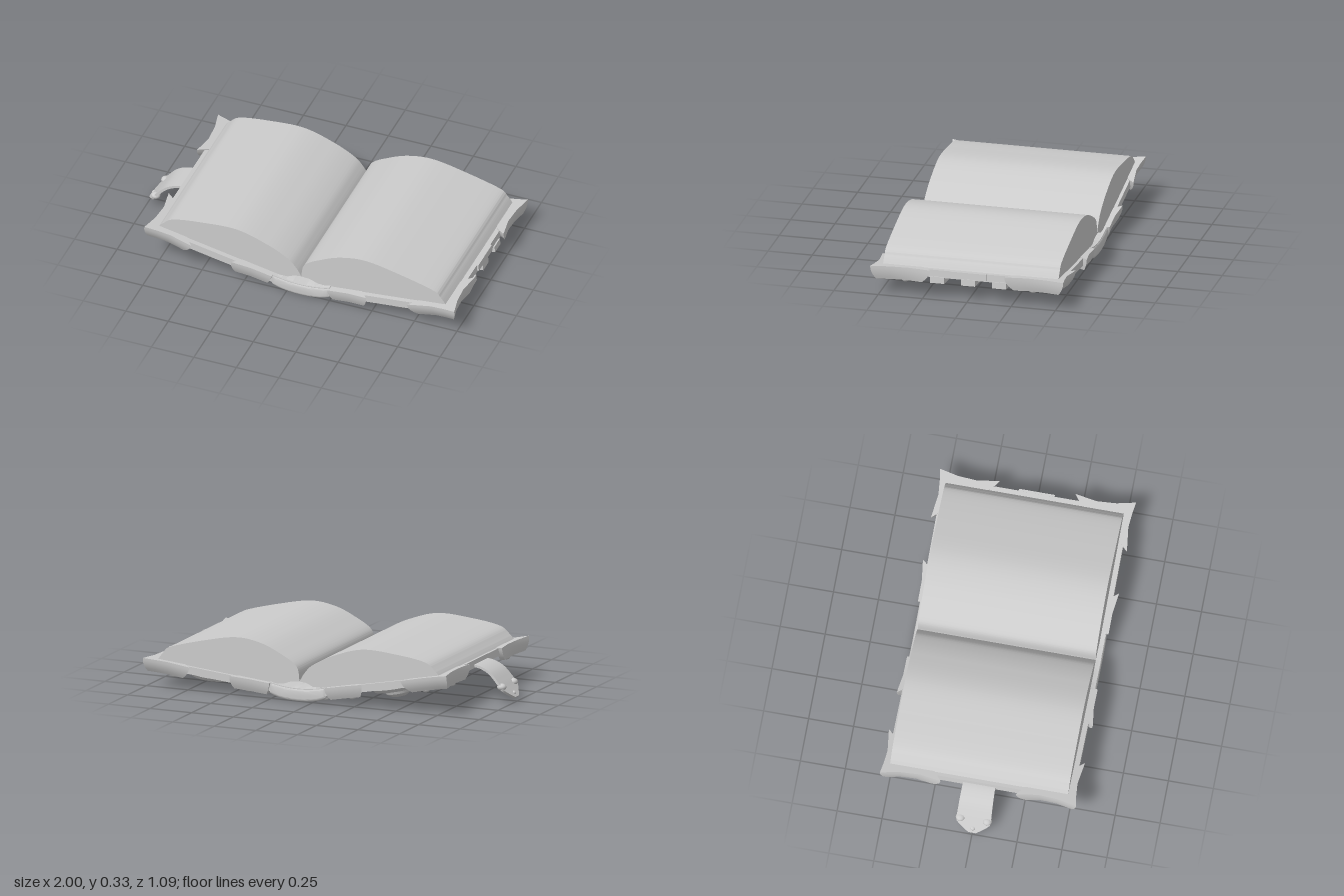
import * as THREE from 'three';
import { toCreasedNormals } from 'three/addons/utils/BufferGeometryUtils.js';

const grey = new THREE.MeshStandardMaterial({ color: 0xcccccc, side: THREE.DoubleSide });
const vecs = (pts) => pts.map(([x, y]) => new THREE.Vector2(x, y));

function add(parent, name, geo, x = 0, y = 0, z = 0) {
  const mesh = new THREE.Mesh(geo, grey);
  mesh.name = name;
  mesh.position.set(x, y, z);
  parent.add(mesh);
  return mesh;
}

// Profile in x/y swept along z and centred
function sweep(shape, depth, bevel = 0) {
  const g = new THREE.ExtrudeGeometry(shape, {
    depth: depth - 2 * bevel, bevelEnabled: bevel > 0, bevelSize: bevel,
    bevelThickness: bevel, bevelOffset: -bevel, bevelSegments: 3, curveSegments: 20,
  });
  g.translate(0, 0, -depth / 2 + bevel);
  return toCreasedNormals(g, 0.6);
}

// Metal fitting: outline in the cover plane, hanging down and rounding inward
function fitting(outline, depth, shrink) {
  const g = new THREE.ExtrudeGeometry(new THREE.Shape(vecs(outline)),
    { depth, steps: 5, bevelEnabled: false });
  const cx = outline.reduce((s, p) => s + p[0], 0) / outline.length;
  const cy = outline.reduce((s, p) => s + p[1], 0) / outline.length;
  const p = g.attributes.position;
  for (let i = 0; i < p.count; i++) {
    const t = p.getZ(i) / depth, k = 1 - shrink * t * t;
    p.setXY(i, cx + (p.getX(i) - cx) * k, cy + (p.getY(i) - cy) * k);
  }
  g.rotateX(Math.PI / 2);
  return toCreasedNormals(g, 0.7);
}

function stud(parent, x, y, z, r = 0.022) {
  add(parent, 'stud', new THREE.SphereGeometry(r, 14, 10), x, y, z).scale.y = 0.75;
}

// Round boss under the cover: rim ring, dish and dome
function boss(parent, x, z, drop) {
  const profile = vecs([[0, -drop], [0.04, -drop + 0.006], [0.07, -drop + 0.025], [0.085, -0.05],
    [0.105, -0.05], [0.115, -0.068], [0.13, -0.068], [0.145, -0.05], [0.145, -0.03]]);
  add(parent, 'boss', toCreasedNormals(new THREE.LatheGeometry(profile, 36), 0.6), x, 0, z);
}

// Cover in its own frame: x runs outward from the hinge, top face at y = 0
function makeCover(name, len, bossX, bossDrop) {
  const g = new THREE.Group();
  g.name = name;
  add(g, 'board', new THREE.BoxGeometry(len + 0.01, 0.042, 1.036), len / 2 - 0.005, -0.024, 0);
  for (const s of [-1, 1]) {
    const corner = [[len + 0.045, 0.545], [len + 0.022, 0.44], [len + 0.015, 0.33], [len + 0.035, 0.21],
      [len - 0.02, 0.25], [len - 0.07, 0.36], [len - 0.14, 0.44], [len - 0.235, 0.545],
      [len - 0.1, 0.528], [len - 0.02, 0.535]];
    const inner = [[0, 0.53], [0.12, 0.53], [0.235, 0.545], [0.17, 0.46], [0.1, 0.41],
      [0.05, 0.33], [0, 0.29]];
    add(g, 'cornerGuard', fitting(corner.map(([x, z]) => [x, s * z]), 0.075, 0.24));
    add(g, 'hingeGuard', fitting(inner.map(([x, z]) => [x, s * z]), 0.07, 0.2));
    stud(g, len - 0.12, -0.072, s * 0.48);
    stud(g, len - 0.02, -0.072, s * 0.36);
    stud(g, 0.14, -0.068, s * 0.48);
    stud(g, 0.035, -0.068, s * 0.38);
    boss(g, bossX, s * 0.365, bossDrop);
  }
  return g;
}

export function createModel() {
  const book = new THREE.Group();
  book.name = 'openBook';

  // Covers, tilted up from the spine
  const left = makeCover('leftCover', 0.712, 0.4, 0.075);
  left.position.set(0.248, 0.09, 0);
  left.rotation.z = 0.098;
  const right = makeCover('rightCover', 0.71, 0.365, 0.115);
  right.position.set(-0.08, 0.093, 0);
  right.rotation.set(0, Math.PI, 0.19);
  book.add(left, right);

  // Reinforcing bars beneath the covers
  for (const z of [-0.175, 0, 0.175]) {
    add(left, 'bar', new THREE.BoxGeometry(0.72, 0.036, 0.08), 0.36, -0.058, z);
    add(right, 'shortBar', new THREE.BoxGeometry(0.56, 0.036, 0.08), 0.32, -0.06, z);
  }
  add(right, 'crossBar', new THREE.BoxGeometry(0.07, 0.03, 0.46), 0.33, -0.062, 0);
  add(left, 'catchPlate', new THREE.BoxGeometry(0.012, 0.036, 0.2), 0.716, -0.02, 0);

  // Curved spine with raised bands and end caps
  const arc = (drop, thick) => {
    const s = new THREE.Shape();
    s.moveTo(-0.085, 0.095);
    s.quadraticCurveTo(0.085, 0.052, 0.255, 0.095);
    s.lineTo(0.255, 0.095 - thick);
    s.bezierCurveTo(0.19, drop, -0.02, drop, -0.085, 0.095 - thick);
    return s;
  };
  add(book, 'spine', sweep(arc(0.02, 0.05), 1.03));
  for (const z of [-0.17, 0, 0.175]) {
    add(book, 'spineBand', sweep(arc(-0.012, 0.062), 0.085, 0.012), 0, 0, z);
  }
  for (const s of [-1, 1]) {
    add(book, 'spineCap', sweep(arc(-0.01, 0.062), 0.21, 0.015), 0, 0, s * 0.415);
    stud(book, -0.05, 0.022, s * 0.44);
    stud(book, 0.215, 0.022, s * 0.44);
  }

  // Two fanned page blocks: curved top, underside resting on the cover
  const pages = (name, top, under) => {
    const s = new THREE.Shape();
    s.moveTo(...top[0]);
    s.splineThru(vecs(top.slice(1)));
    under.forEach((p) => s.lineTo(...p));
    const geo = new THREE.ExtrudeGeometry(s, { depth: 0.99, bevelEnabled: false, curveSegments: 36 });
    geo.translate(0, 0, -0.5);
    add(book, name, toCreasedNormals(geo, 0.5));
  };
  pages('rightPages',
    [[-0.76, 0.218], [-0.73, 0.25], [-0.67, 0.29], [-0.51, 0.315], [-0.3, 0.325], [-0.12, 0.272],
      [0, 0.21], [0.05, 0.16], [0.08, 0.11]],
    [[0.04, 0.106], [0, 0.088], [-0.08, 0.086]]);
  pages('leftPages',
    [[0.08, 0.11], [0.1, 0.195], [0.2, 0.258], [0.32, 0.306], [0.465, 0.322], [0.66, 0.285],
      [0.855, 0.232], [0.9, 0.195], [0.93, 0.155]],
    [[0.25, 0.085], [0.18, 0.088], [0.13, 0.106]]);

  // Drooping clasp strap with a tapered tip
  const curve = new THREE.CatmullRomCurve3([[-0.72, 0.19], [-0.8, 0.193], [-0.87, 0.165], [-0.925, 0.11],
    [-0.955, 0.072], [-0.995, 0.022]].map(([x, y]) => new THREE.Vector3(x, y, 0)));
  const strap = new THREE.BoxGeometry(1, 0.014, 1, 28, 1, 6);
  const p = strap.attributes.position;
  for (let i = 0; i < p.count; i++) {
    const t = THREE.MathUtils.clamp(p.getX(i) + 0.5, 0, 1);
    const c = curve.getPointAt(t), d = curve.getTangentAt(t);
    const half = t < 0.8 ? 0.088 + 0.01 * t : 0.096 - 0.075 * ((t - 0.8) / 0.2) ** 1.3;
    const h = p.getY(i);
    p.setXYZ(i, c.x + d.y * h, c.y - d.x * h, p.getZ(i) * 2 * half);
  }
  // keep the strap's faces outward
  strap.computeVertexNormals();
  add(book, 'claspStrap', toCreasedNormals(strap, 0.6));
  for (const z of [-0.075, 0.075]) stud(book, -0.942, 0.088, z, 0.026);
  stud(book, -0.977, 0.045, 0, 0.016);

  return book;
}
